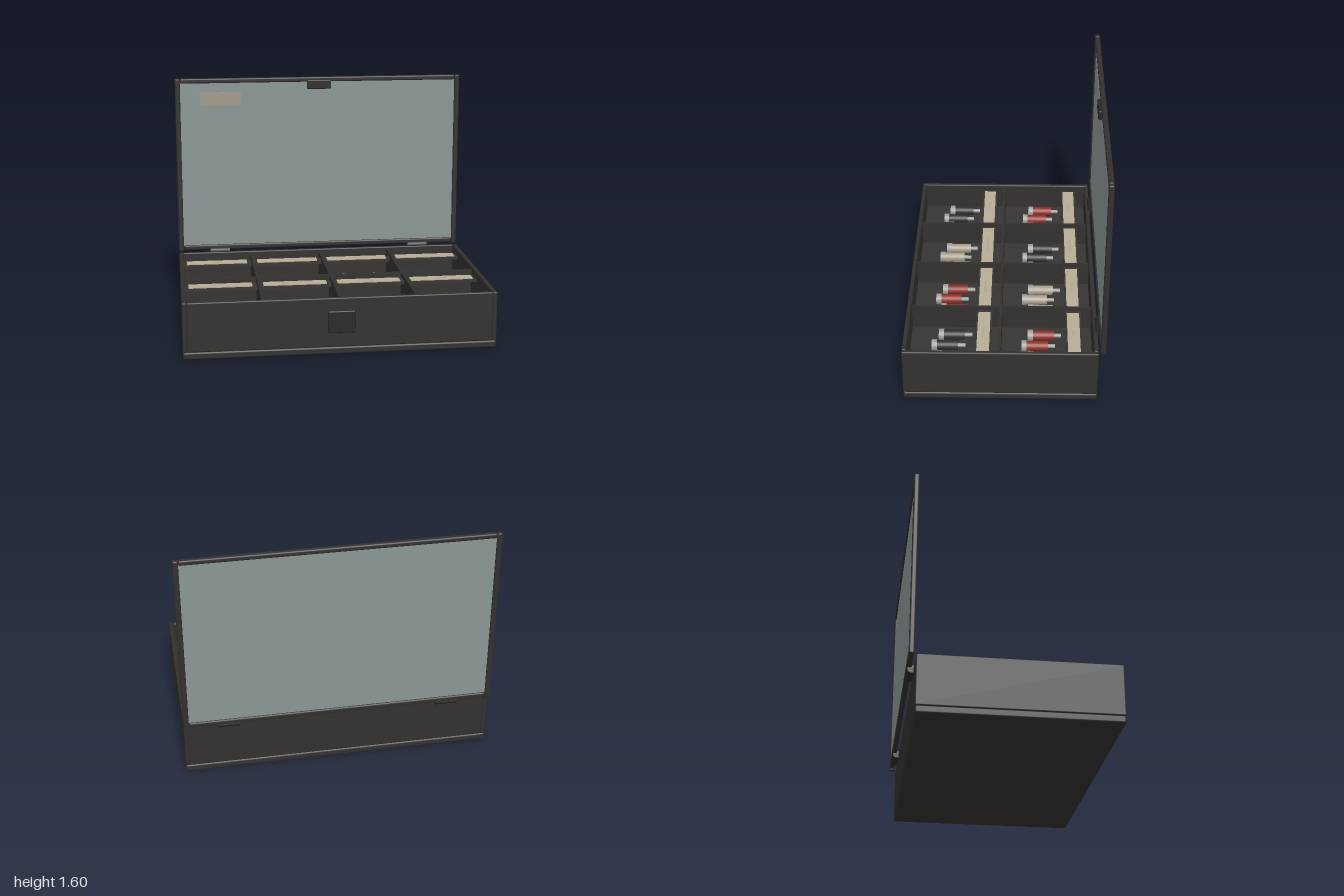
import * as THREE from 'three';
import { RoundedBoxGeometry } from 'three/addons/geometries/RoundedBoxGeometry.js';

const mat = (color) => new THREE.MeshStandardMaterial({ color });

export function createModel() {
  const root = new THREE.Group();
  const shell = mat(0x33312f), inner = mat(0x373533), trim = mat(0x2a2826);
  const glass = mat(0x8a9694), paper = mat(0xb8ad96), faded = mat(0xa0998a), mark = mat(0xada798);
  const steel = mat(0x9a9a98);
  const bodies = { red: mat(0x8e2f28), dark: mat(0x2e2e2e), cream: mat(0xa69d88) };

  // box given by its min and max corners; r > 0 rounds the edges
  function box(parent, name, material, [x0, y0, z0], [x1, y1, z1], r = 0) {
    const s = [x1 - x0, y1 - y0, z1 - z0];
    const geo = r ? new RoundedBoxGeometry(...s, 2, r) : new THREE.BoxGeometry(...s);
    const m = new THREE.Mesh(geo, material);
    m.name = name;
    m.position.set((x0 + x1) / 2, (y0 + y1) / 2, (z0 + z1) / 2);
    parent.add(m);
    return m;
  }
  function group(name, parent = root) {
    const g = new THREE.Group();
    g.name = name;
    parent.add(g);
    return g;
  }

  // tray: base slab, four walls, raised compartment floor
  const zb = -0.597, zf = 0.632, top = 0.37;
  const tray = group('tray');
  box(tray, 'base', shell, [-1, 0, zb], [1, 0.047, zf], 0.012);
  for (const s of [-1, 1]) {
    box(tray, 'sideWall', shell, [s * 0.985 - 0.015, 0.047, zb], [s * 0.985 + 0.015, top, zf], 0.008);
  }
  box(tray, 'frontWall', shell, [-0.972, 0.047, zf - 0.028], [0.972, top, zf], 0.008);
  box(tray, 'backWall', shell, [-0.972, 0.047, zb], [0.972, top, zb + 0.028], 0.008);
  box(tray, 'compartmentFloor', inner, [-0.972, 0.04, zb + 0.02], [0.972, 0.183, zf - 0.02]);
  box(tray, 'catchPlate', trim, [-0.088, 0.14, zf - 0.01], [0.088, 0.285, 0.64], 0.008);

  // dividers make a grid of four by two
  for (const x of [-0.49, 0, 0.49]) {
    box(tray, 'crossDivider', shell, [x - 0.008, 0.18, zb + 0.02], [x + 0.008, 0.35, zf - 0.02]);
  }
  box(tray, 'longDivider', shell, [-0.972, 0.18, 0.014], [0.972, 0.35, 0.03]);

  // one bottle lying along z, cap towards the front
  const bottleParts = [
    ['cap', 0.037, 0.034, -0.172],
    ['body', 0.032, 0.135, -0.2565],
    ['pin', 0.013, 0.048, -0.348],
  ].map(([name, r, len, z]) => [name, new THREE.CylinderGeometry(r, r, len, 20).rotateX(Math.PI / 2), z]);

  function bottle(parent, color, x, z) {
    const b = group('bottle', parent);
    for (const [name, geo, pz] of bottleParts) {
      const m = new THREE.Mesh(geo, name === 'body' ? bodies[color] : steel);
      m.name = name;
      m.position.z = pz;
      b.add(m);
    }
    b.position.set(x, 0.222, z);
  }

  // compartments: label shelf and three bottles each
  const rows = [
    ['red', 'dark', 'cream', 'red'],
    ['dark', 'cream', 'red', 'dark'],
  ];
  const markWidths = [[0.06, 0.13, 0.1, 0.06], [0.1, 0.16, 0.13, 0.1]];
  rows.forEach((colors, row) => colors.forEach((color, col) => {
    const cell = group('compartment');
    const cx = -0.74 + col * 0.4925, dz = row * 0.576;
    const w = markWidths[row][col] / 2;
    box(cell, 'labelShelf', inner, [cx - 0.24, 0.305, dz - 0.5], [cx + 0.24, 0.325, dz - 0.398]);
    box(cell, 'label', paper, [cx - 0.21, 0.325, dz - 0.488], [cx + 0.21, 0.331, dz - 0.408]);
    box(cell, 'labelMark', mark, [cx - w, 0.331, dz - 0.456], [cx + w, 0.332, dz - 0.438]);
    for (const i of [-1, 0, 1]) bottle(cell, color, cx + i * 0.108, dz + (i ? 0 : 0.04));
  }));

  // open lid: frame around a pane
  const lid = group('lid');
  const lb = -0.64, lf = -0.606;
  for (const s of [-1, 1]) {
    box(lid, 'lidPost', shell, [s * 0.9825 - 0.0175, 0.37, lb], [s * 0.9825 + 0.0175, 1.6, lf], 0.01);
  }
  box(lid, 'topRail', shell, [-0.965, 1.567, lb], [0.965, 1.6, lf], 0.01);
  box(lid, 'bottomRail', shell, [-0.965, 0.38, lb], [0.965, 0.415, lf], 0.01);
  box(lid, 'pane', glass, [-0.97, 0.405, -0.629], [0.97, 1.577, -0.617]);
  box(lid, 'paneLabel', faded, [-0.83, 1.41, -0.617], [-0.545, 1.503, -0.614]);
  box(lid, 'latch', trim, [-0.085, 1.518, -0.61], [0.085, 1.582, -0.586], 0.008);

  // hinge knuckles
  for (const x of [-0.71, 0.71]) {
    const hinge = new THREE.Mesh(new THREE.CylinderGeometry(0.025, 0.025, 0.14, 12).rotateZ(Math.PI / 2), trim);
    hinge.name = 'hinge';
    hinge.position.set(x, 0.371, -0.609);
    root.add(hinge);
  }
  return root;
}
